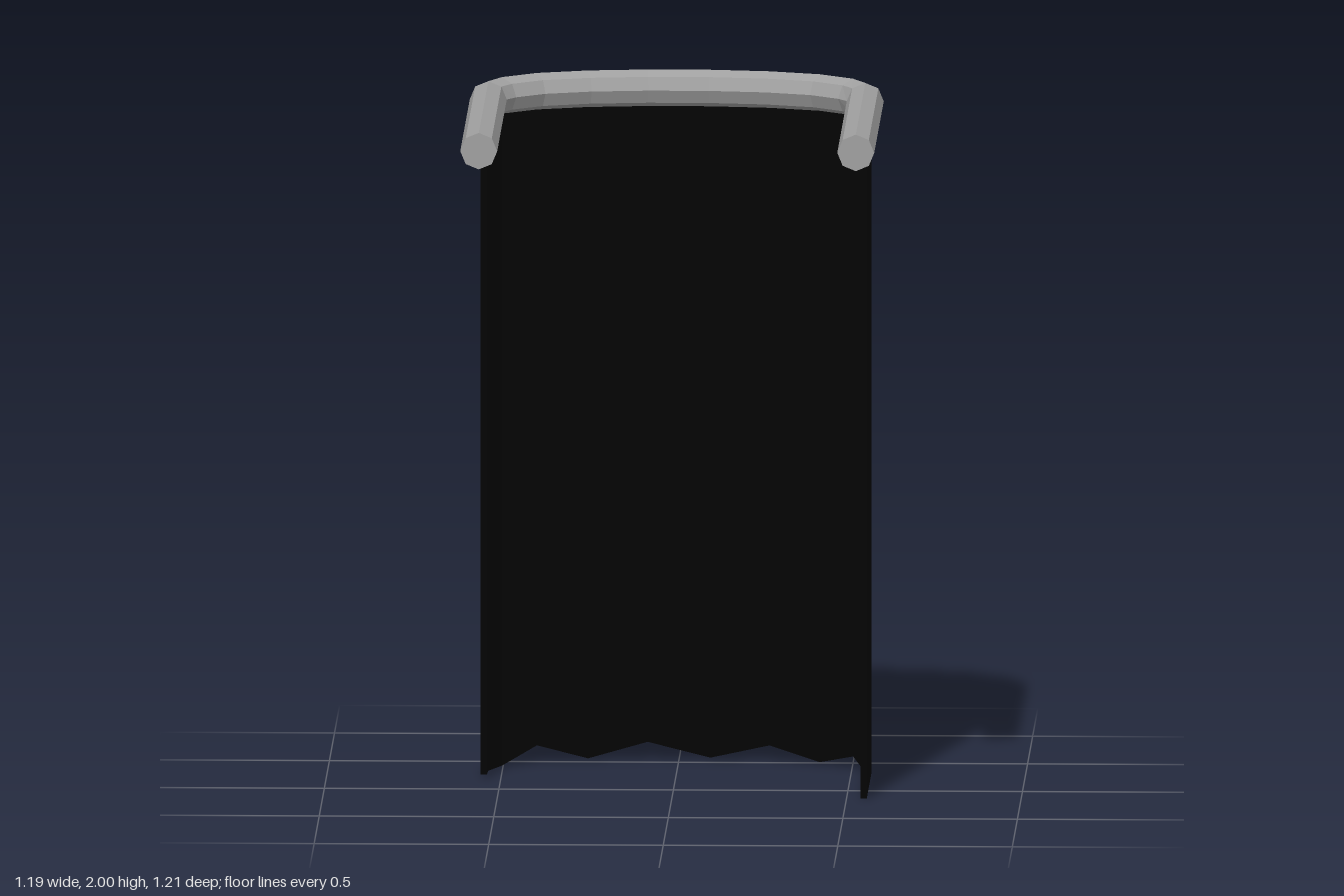
import * as THREE from 'three';

// Back half of the U-shaped centre line [x, z], from the left corner to the middle
const half = [[0.54, -0.33], [0.503, -0.405], [0.405, -0.483], [0.26, -0.532], [0.09, -0.555]];
const arc = [...half, ...half.map(([x, z]) => [-x, z]).reverse()];
const uPath = (leftZ, rightZ) => [[0.54, leftZ], ...arc, [-0.54, rightZ]];

// Sweeps a closed section of [outward, y] points along a path, with capped ends.
// The straight legs keep square ends, the bends of the arc are mitred.
function sweep(path, section) {
  const pos = [], index = [];
  const dir = (a, b) => new THREE.Vector2(b[0] - a[0], b[1] - a[1]).normalize();
  const last = path.length - 1;
  const n = section(0).length;
  path.forEach((p, i) => {
    const before = dir(path[Math.max(i - 1, 0)], path[Math.max(i, 1)]);
    const after = dir(path[Math.min(i, last - 1)], path[Math.min(i + 1, last)]);
    const leg = i >= last - 1 ? after : before;
    const square = i <= 1 || i >= last - 1;
    const t = square ? leg : before.clone().add(after).normalize();
    const mitre = 1 / t.dot(leg);
    for (const [d, y] of section(i)) pos.push(p[0] - t.y * d * mitre, y, p[1] + t.x * d * mitre);
  });
  for (let i = 0; i < last; i++) {
    for (let j = 0; j < n; j++) {
      const a = i * n + j, b = i * n + (j + 1) % n;
      index.push(a, a + n, b, b, a + n, b + n);
    }
  }
  for (let j = 1; j < n - 1; j++) {
    index.push(0, j, j + 1, last * n, last * n + j + 1, last * n + j);
  }
  const geo = new THREE.BufferGeometry();
  geo.setAttribute('position', new THREE.Float32BufferAttribute(pos, 3));
  geo.setIndex(index);
  const flat = geo.toNonIndexed();
  flat.computeVertexNormals();
  return flat;
}

export function createModel() {
  const group = new THREE.Group();
  const add = (name, geometry, color) => {
    const mesh = new THREE.Mesh(geometry, new THREE.MeshStandardMaterial({ color, flatShading: true }));
    mesh.name = name;
    group.add(mesh);
  };

  // Eight-sided rail bent into a U
  const r = 0.053, railY = 2 - r;
  const octagon = Array.from({ length: 8 }, (_, k) => {
    const a = k * Math.PI / 4;
    return [r * Math.cos(a), railY + r * Math.sin(a)];
  });
  add('rail', sweep(uPath(0.605, 0.605), () => octagon), 0xa0a0a0);

  // Thin curtain with an uneven hem, drawn further forward on the left leg than on the right
  const hem = [0, 0, 0.035, 0.005, 0.045, 0.005, 0.05, 0.005, 0.05, 0.003, 0, 0.01];
  const inner = 0, outer = 0.018;
  const strip = (i) => [[inner, hem[i]], [outer, hem[i]], [outer, railY], [inner, railY]];
  add('curtain', sweep(uPath(0.14, -0.2), strip), 0x040404);

  return group;
}
